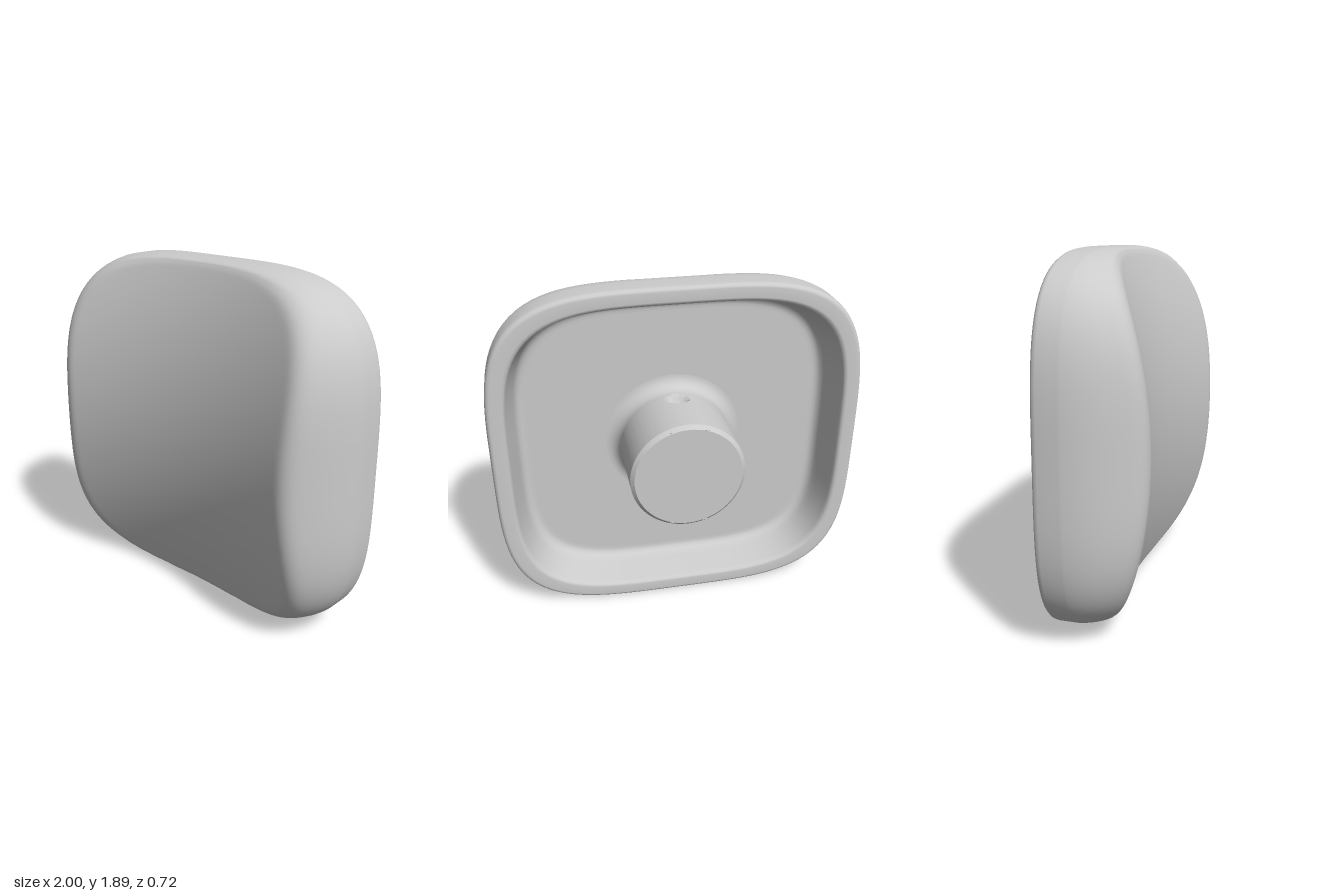
import * as THREE from 'three';
import { toCreasedNormals } from 'three/addons/utils/BufferGeometryUtils.js';

const HALF_W = 1, HALF_H = 0.943, POWER = 3.9, SEG = 160;
const FLOOR_Z = 0.09, STEM_R = 0.305;

// Front height: saddle-shaped dish blended softly into the curved side wall
function frontHeight(x, y, r) {
  const dish = 0.26 + 0.17 * x * x - 0.22 * y * y;
  const wall = (-0.1 + Math.sqrt(0.01 + 4.4 * (1 - r))) / 2.2;
  const k = 0.08, h = Math.max(k - Math.abs(dish - wall), 0);
  const blend = (h * h) / (4 * k) * Math.min(1, (1 - r) / 0.05);
  return Math.min(dish, wall) - blend;
}

// Hollow cap: rounded-square rings run over the front, round the rim and into the back
function capGeometry() {
  const rings = [];
  const N = 48;
  for (let i = 0; i <= N; i++) {
    const t = i / N;
    rings.push([1 - Math.pow(1 - t, 1.7), null]);
  }
  rings.push(
    [1, -0.05], [1, -0.1], [0.997, -0.115], [0.989, -0.126], [0.977, -0.13],
    [0.925, -0.13], [0.912, -0.126], [0.904, -0.115], [0.9, -0.1],
    [0.865, 0.02], [0.857, 0.05], [0.845, 0.073], [0.828, 0.086], [0.81, FLOOR_Z],
    [0.79, FLOOR_Z], [0.4, FLOOR_Z], [0, FLOOR_Z]
  );
  const pos = [], index = [];
  rings.forEach(([r, z], i) => {
    for (let j = 0; j < SEG; j++) {
      const a = (j / SEG) * Math.PI * 2, c = Math.cos(a), s = Math.sin(a);
      const q = r / Math.pow(Math.abs(c) ** POWER + Math.abs(s) ** POWER, 1 / POWER);
      const x = HALF_W * q * c, y = HALF_H * q * s;
      pos.push(x, y, z === null ? frontHeight(x, y, r) : z);
      if (i + 1 < rings.length) {
        const k = (j + 1) % SEG;
        const p0 = i * SEG + j, p1 = i * SEG + k, p2 = p0 + SEG, p3 = p1 + SEG;
        index.push(p0, p2, p1, p1, p2, p3);
      }
    }
  });
  const g = new THREE.BufferGeometry();
  g.setAttribute('position', new THREE.Float32BufferAttribute(pos, 3));
  g.setIndex(index);
  g.computeVertexNormals();
  return g;
}

// Round stem with a chamfered cross socket and a small vent dimple on top
function stemGeometry() {
  const shape = new THREE.Shape().absarc(0, 0, STEM_R, 0, Math.PI * 2, false);
  const L = 0.255, v = 0.08, h = 0.062;
  const cross = [
    [v, L], [v, h], [L, h], [L, -h], [v, -h], [v, -L],
    [-v, -L], [-v, -h], [-L, -h], [-L, h], [-v, h], [-v, L]
  ];
  shape.holes.push(new THREE.Path(cross.map(([x, y]) => new THREE.Vector2(x, y))));
  const bevel = 0.02;
  const g = new THREE.ExtrudeGeometry(shape, {
    depth: 0.44, steps: 24, curveSegments: 96,
    bevelThickness: bevel, bevelSize: bevel, bevelOffset: -bevel, bevelSegments: 1
  });
  g.translate(0, 0, -0.36 + bevel);
  const p = g.attributes.position;
  for (let i = 0; i < p.count; i++) {
    const x = p.getX(i), y = p.getY(i), z = p.getZ(i);
    const d = Math.hypot(x / 0.065, (z + 0.05) / 0.045);
    if (y > 0 && Math.hypot(x, y) > STEM_R - 0.003 && d < 1) {
      p.setY(i, y - 0.042 * Math.min(1, 2 * (1 - d)));
    }
  }
  return toCreasedNormals(g, 0.5);
}

// Fillet where the stem meets the cap floor
function filletGeometry() {
  const pts = [], R = 0.075;
  for (let i = 0; i <= 8; i++) {
    const a = (i / 8) * Math.PI / 2;
    pts.push(new THREE.Vector2(STEM_R + R * (1 - Math.cos(a)), FLOOR_Z - R * (1 - Math.sin(a))));
  }
  return new THREE.LatheGeometry(pts, 96).rotateX(Math.PI / 2);
}

export function createModel() {
  const group = new THREE.Group();
  group.name = 'keycap';
  const grey = new THREE.MeshStandardMaterial({ color: 0xcccccc });
  const greyDouble = new THREE.MeshStandardMaterial({ color: 0xcccccc, side: THREE.DoubleSide });
  const add = (name, geometry, material) => {
    const mesh = new THREE.Mesh(geometry, material);
    mesh.name = name;
    mesh.position.y = HALF_H;
    group.add(mesh);
  };
  add('cap', capGeometry(), grey);
  add('stem', stemGeometry(), grey);
  add('stemFillet', filletGeometry(), greyDouble);
  return group;
}
